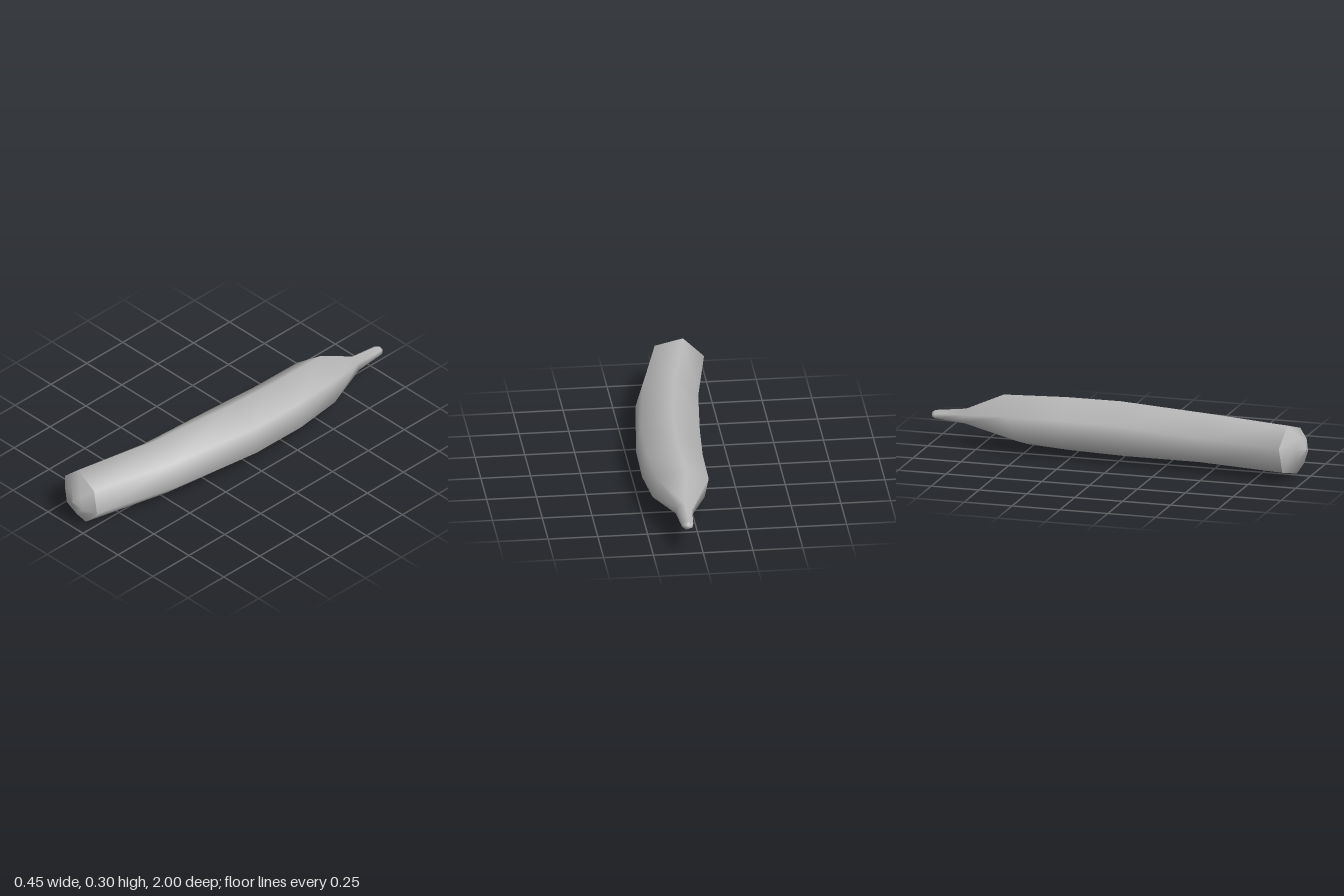
import * as THREE from 'three';

// Corner angles of the slightly uneven six-sided cross-section, clockwise from the front
const CORNERS = [164, 103, 41, -12, -70, -140];

// Cross-section: centre, radii, twist in degrees, and lean of the slice in x and y
function ring([z, cx, cy, rx, ry, twist = 0, leanX = 0, leanY = 0]) {
  return CORNERS.map((deg) => {
    const a = THREE.MathUtils.degToRad(deg + twist);
    const dx = Math.cos(a) * rx, dy = Math.sin(a) * ry;
    return [cx + dx, cy + dy, z + dx * leanX + dy * leanY];
  });
}

// Smooth skin through cross-sections listed from front to back
function loft(sections) {
  const n = CORNERS.length;
  const positions = sections.flatMap(ring).flat();
  const index = [];
  for (let i = 0; i < sections.length - 1; i++) {
    for (let j = 0; j < n; j++) {
      const a = i * n + j, b = i * n + (j + 1) % n;
      const c = a + n, d = b + n;
      index.push(a, b, c, b, d, c);
    }
  }
  const g = new THREE.BufferGeometry();
  g.setAttribute('position', new THREE.Float32BufferAttribute(positions, 3));
  g.setIndex(index);
  g.computeVertexNormals();
  return g;
}

export function createModel() {
  const group = new THREE.Group();
  group.name = 'curvedFruit';
  const skin = new THREE.MeshStandardMaterial({ color: 0xb8b8b8 });
  skin.name = 'grey skin';

  const add = (name, sections) => {
    const mesh = new THREE.Mesh(loft(sections), skin);
    mesh.name = name;
    group.add(mesh);
  };

  const rim = [0.927, -0.09, 0.156, 0.142, 0.139, 0, 0.16, -0.04];

  // Curved body tapering into the stem
  add('bodyAndStem', [
    rim,
    [0.47, 0.01, 0.155, 0.16, 0.141, 0, 0.16],
    [0.0, 0.058, 0.154, 0.17, 0.152, -6, 0.02],
    [-0.29, 0.07, 0.155, 0.163, 0.147, -6, -0.05],
    [-0.56, 0.06, 0.159, 0.149, 0.133, -6, -0.1, -0.43],
    [-0.82, 0.075, 0.153, 0.042, 0.042, -6, 0.3],
    [-0.98, 0.075, 0.152, 0.03, 0.024, -6],
    [-0.997, 0.075, 0.152, 0.018, 0.014, -6],
    [-1.0, 0.075, 0.152, 0.0005, 0.0005, -6],
  ]);

  // Blunt rounded end, with a sharp edge where it meets the body
  add('bluntEnd', [
    [1.0, -0.075, 0.156, 0.0005, 0.0005],
    [0.979, -0.088, 0.156, 0.076, 0.076, 0, 0.16],
    rim,
  ]);

  return group;
}
